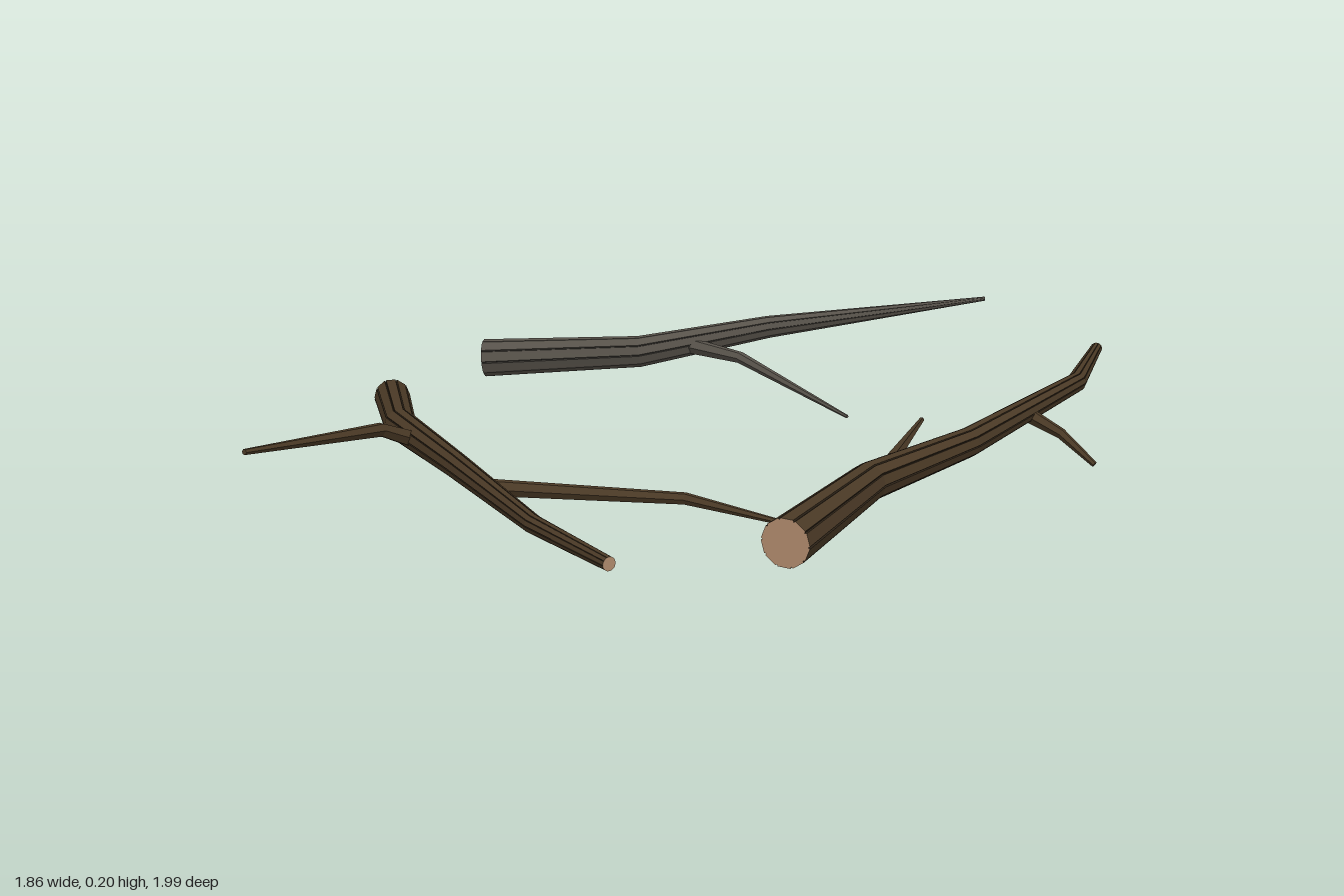
import * as THREE from 'three';

const mat = (name, color) => {
  const m = new THREE.MeshStandardMaterial({ color, flatShading: true });
  m.name = name;
  return m;
};

// Tapered limb through points [x, y, z, radius]; groups: 0 bark, 1 grooves, 2 cut ends
function limbGeometry(points, ridges, grooved) {
  const section = [];
  for (let i = 0; i < ridges; i++) {
    const step = (Math.PI * 2) / ridges, a = i * step;
    section.push({ a, r: 1, group: 0 });
    if (grooved) {
      section.push({ a: a + step * 0.84, r: 1, group: 1 });
      section.push({ a: a + step * 0.92, r: 0.93, group: 1 });
    }
  }
  const centres = points.map(p => new THREE.Vector3(p[0], p[1], p[2]));
  const rings = centres.map((c, k) => {
    const before = centres[Math.max(k - 1, 0)], after = centres[Math.min(k + 1, centres.length - 1)];
    const t = new THREE.Vector3();
    if (k > 0) t.add(c.clone().sub(before).normalize());
    if (k < centres.length - 1) t.add(after.clone().sub(c).normalize());
    t.normalize();
    const side = t.clone().cross(new THREE.Vector3(0, 1, 0)).normalize();
    const up = side.clone().cross(t);
    return section.map(s => c.clone()
      .addScaledVector(side, Math.cos(s.a) * s.r * points[k][3])
      .addScaledVector(up, Math.sin(s.a) * s.r * points[k][3]));
  });
  const faces = [[], [], []];
  const n = section.length, last = rings.length - 1;
  for (let i = 0; i < n; i++) {
    const j = (i + 1) % n;
    for (let k = 0; k < last; k++) {
      const [a, b, c, d] = [rings[k][i], rings[k + 1][i], rings[k + 1][j], rings[k][j]];
      faces[section[i].group].push(a, b, d, b, c, d);
    }
    faces[2].push(centres[0], rings[0][i], rings[0][j]);
    faces[2].push(centres[last], rings[last][j], rings[last][i]);
  }
  const g = new THREE.BufferGeometry().setFromPoints(faces.flat());
  let start = 0;
  faces.forEach((f, i) => {
    if (f.length) g.addGroup(start, f.length, i);
    start += f.length;
  });
  g.computeVertexNormals();
  return g;
}

export function createModel() {
  const brown = mat('brown bark', 0x4b3a26), brownGroove = mat('brown bark groove', 0x2e2418);
  const grey = mat('grey bark', 0x57524a), greyGroove = mat('grey bark groove', 0x3a3732);
  const wood = mat('cut wood', 0xb08a6c);

  const branches = [
    {
      name: 'greyBranch', bark: grey, groove: greyGroove,
      stem: [[-0.9, 0.049, -0.035, 0.046], [-0.63, 0.075, -0.31, 0.038], [-0.46, 0.13, -0.58, 0.027], [-0.13, 0.202, -0.993, 0.005]],
      twigs: [[[-0.55, 0.09, -0.41, 0.02], [-0.41, 0.08, -0.45, 0.014], [-0.03, 0.01, -0.456, 0.004]]],
    },
    {
      name: 'frontBranch', bark: brown, groove: brownGroove,
      stem: [[-0.663, 0.058, 0.362, 0.04], [-0.36, 0.08, 0.515, 0.034], [0, 0.087, 0.597, 0.026], [0.4, 0.083, 0.682, 0.018], [0.655, 0.08, 0.698, 0.013]],
      twigs: [
        [[-0.235, 0.08, 0.55, 0.019], [-0.218, 0.12, 0.64, 0.015], [-0.1, 0.16, 0.995, 0.006]],
        [[0.155, 0.085, 0.63, 0.017], [0.36, 0.052, 0.31, 0.012], [0.585, 0.035, 0.22, 0.004]],
      ],
    },
    {
      name: 'leftBranch', bark: brown, groove: brownGroove,
      stem: [[0.887, 0.138, 0.507, 0.044], [0.72, 0.143, 0.17, 0.036], [0.65, 0.147, -0.15, 0.029], [0.465, 0.155, -0.665, 0.021], [0.275, 0.157, -0.943, 0.013]],
      twigs: [
        [[0.67, 0.14, 0.035, 0.02], [0.55, 0.11, -0.05, 0.014], [0.1, 0.012, -0.565, 0.006]],
        [[0.565, 0.145, -0.41, 0.016], [0.62, 0.11, -0.45, 0.011], [0.695, 0.058, -0.47, 0.006]],
      ],
    },
  ];

  const model = new THREE.Group();
  for (const { name, bark, groove, stem, twigs } of branches) {
    const branch = new THREE.Group();
    branch.name = name;
    const main = new THREE.Mesh(limbGeometry(stem, 10, true), [bark, groove, wood]);
    main.name = 'stem';
    branch.add(main);
    // Side twigs start inside the stem
    twigs.forEach((points, i) => {
      const twig = new THREE.Mesh(limbGeometry(points, 6, false), [bark, groove, bark]);
      twig.name = `twig${i + 1}`;
      branch.add(twig);
    });
    model.add(branch);
  }
  return model;
}
